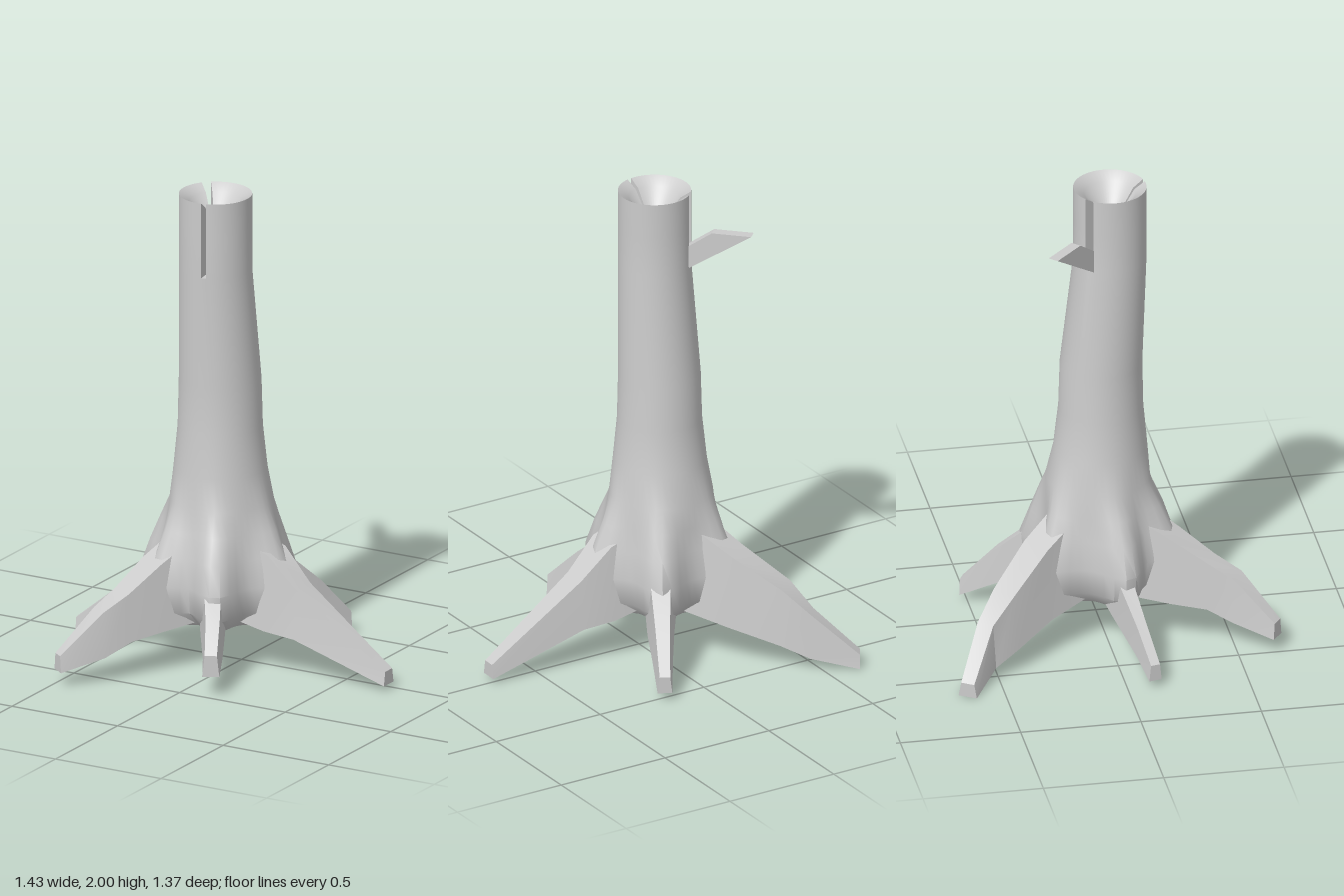
import * as THREE from 'three';
import { toCreasedNormals } from 'three/addons/utils/BufferGeometryUtils.js';

const material = new THREE.MeshStandardMaterial({ color: 0xcccccc, side: THREE.DoubleSide });

// Skin a list of closed rings (arrays of Vector3); skip(i, j) leaves a cell open
function loft(rings, skip = () => false) {
  const n = rings[0].length, pos = [], index = [];
  rings.forEach(ring => ring.forEach(p => pos.push(p.x, p.y, p.z)));
  for (let i = 0; i < rings.length - 1; i++) {
    for (let j = 0; j < n; j++) {
      if (skip(i, j)) continue;
      const k = (j + 1) % n, a = i * n + j, b = i * n + k, c = a + n, d = b + n;
      index.push(a, b, c, b, d, c);
    }
  }
  const geo = new THREE.BufferGeometry();
  geo.setAttribute('position', new THREE.Float32BufferAttribute(pos, 3));
  geo.setIndex(index);
  return geo;
}

function addMesh(parent, name, geo, crease) {
  const mesh = new THREE.Mesh(crease ? toCreasedNormals(geo, crease) : geo, material);
  mesh.name = name;
  parent.add(mesh);
  return mesh;
}

// Roots: stations of [x, z, top y, bottom y, width]
const ROOTS = {
  rootLeft: [[0, 0.01, 0.56, 0.22, 0.22], [0.17, 0.01, 0.5, 0.18, 0.2], [0.3, 0.015, 0.37, 0.16, 0.15], [0.71, 0.023, 0.08, 0.02, 0.075]],
  rootBackLeft: [[-0.03, -0.12, 0.5, 0.2, 0.13], [0.07, -0.28, 0.37, 0.17, 0.11], [0.13, -0.39, 0.26, 0.11, 0.085], [0.2, -0.52, 0.1, 0.03, 0.06]],
  rootBackRight: [[-0.18, -0.14, 0.58, 0.2, 0.2], [-0.28, -0.3, 0.47, 0.16, 0.18], [-0.42, -0.46, 0.34, 0.1, 0.15], [-0.49, -0.55, 0.24, 0.05, 0.1], [-0.655, -0.655, 0.06, 0, 0.08]],
  rootRight: [[-0.22, 0.03, 0.5, 0.2, 0.12], [-0.37, 0.04, 0.36, 0.17, 0.09], [-0.58, 0.085, 0.21, 0.09, 0.06], [-0.71, 0.115, 0.1, 0.03, 0.055]],
  rootFrontRight: [[-0.18, 0.12, 0.56, 0.2, 0.2], [-0.26, 0.28, 0.46, 0.18, 0.18], [-0.32, 0.42, 0.36, 0.16, 0.14], [-0.37, 0.52, 0.3, 0.11, 0.12], [-0.48, 0.665, 0.13, 0.06, 0.07]],
  rootFrontLeft: [[-0.06, 0.13, 0.5, 0.2, 0.11], [0.01, 0.25, 0.39, 0.18, 0.1], [0.08, 0.37, 0.28, 0.12, 0.08], [0.13, 0.47, 0.17, 0.08, 0.07]],
};

function rootGeometry(stations) {
  const rings = stations.map(([x, z, top, bottom, w], i) => {
    const p = stations[Math.max(i - 1, 0)], q = stations[Math.min(i + 1, stations.length - 1)];
    const len = Math.hypot(q[0] - p[0], q[1] - p[1]);
    const sx = -(q[1] - p[1]) / len, sz = (q[0] - p[0]) / len;
    // Wedge-like section, narrower along the ridge
    return [[-0.36, top], [0.36, top], [0.5, bottom], [-0.5, bottom]]
      .map(([s, y]) => new THREE.Vector3(x + sx * s * w, y, z + sz * s * w));
  });
  const last = rings[rings.length - 1];
  const tip = last.reduce((s, p) => s.add(p), new THREE.Vector3()).divideScalar(4);
  rings.push(last.map(() => tip));
  return loft(rings);
}

// Trunk rings: [y, centre z, radius, root flare]; hollow top first, underside last
const CX = -0.1, N = 48, SLIT_ROW = 4;
const TRUNK = [
  [1.8, 0.04, 0, 0], [1.97, 0.04, 0.105, 0], [2, 0.04, 0.15, 0], [1.85, 0.04, 0.15, 0], [1.68, 0.04, 0.15, 0],
  [1.2, 0.003, 0.169, 0], [1, 0.002, 0.174, 0], [0.82, 0, 0.192, 0], [0.68, -0.01, 0.212, 0.005], [0.58, -0.005, 0.222, 0.04],
  [0.48, 0, 0.235, 0.07], [0.36, 0, 0.25, 0.1], [0.25, 0, 0.24, 0.1], [0.18, 0, 0.17, 0.07], [0.2, 0, 0, 0],
];
const SLITS = [[29, 31], [10, 11]];

function trunkPoint([y, cz, r, flare], j) {
  const a = j / N * Math.PI * 2;
  let lobe = 0;
  for (const s of Object.values(ROOTS)) {
    const d = a - Math.atan2(s[2][1], s[2][0] - CX);
    lobe = Math.max(lobe, Math.exp(-Math.pow(Math.atan2(Math.sin(d), Math.cos(d)) / 0.28, 2)));
  }
  const rr = r + flare * lobe;
  return new THREE.Vector3(CX + rr * Math.cos(a), y, cz + rr * Math.sin(a));
}

// Side walls and floor of a slit cut in to the trunk axis
function slitGeometry(from, to) {
  const pos = [], axisLow = new THREE.Vector3(CX, 1.68, 0.04);
  const fan = pts => {
    for (let i = 1; i < pts.length - 1; i++) {
      for (const p of [pts[0], pts[i], pts[i + 1]]) pos.push(p.x, p.y, p.z);
    }
  };
  const wall = j => [axisLow, trunkPoint(TRUNK[4], j), trunkPoint(TRUNK[2], j), trunkPoint(TRUNK[1], j), trunkPoint(TRUNK[0], j)];
  fan(wall(from));
  fan(wall(to).reverse());
  fan([axisLow, trunkPoint(TRUNK[4], to), trunkPoint(TRUNK[4], from)]);
  const geo = new THREE.BufferGeometry();
  geo.setAttribute('position', new THREE.Float32BufferAttribute(pos, 3));
  geo.computeVertexNormals();
  return geo;
}

export function createModel() {
  const group = new THREE.Group();
  group.name = 'treeStump';

  // Trunk with hollow top, two slits and a flared base
  const rings = TRUNK.map(row => Array.from({ length: N }, (_, j) => trunkPoint(row, j)));
  const inSlit = (i, j) => i < SLIT_ROW && SLITS.some(([a, b]) => j >= a && j < b);
  addMesh(group, 'trunk', loft(rings, inSlit), 0.8);
  SLITS.forEach(([a, b]) => addMesh(group, 'trunkSlit', slitGeometry(a, b)));

  // Roots
  for (const [name, stations] of Object.entries(ROOTS)) addMesh(group, name, rootGeometry(stations), 0.5);

  // Slanted branch stub, cut level at its top
  const outline = new THREE.Shape([[0, 1.58], [0.41, 1.84], [0.245, 1.84], [0, 1.67]].map(p => new THREE.Vector2(...p)));
  const stub = new THREE.ExtrudeGeometry(outline, { depth: 0.044, bevelEnabled: false });
  stub.translate(0, 0, -0.022);
  const branch = addMesh(group, 'branchStub', stub);
  branch.position.set(CX, 0, 0.04);
  branch.rotation.y = Math.PI * 0.75;
  return group;
}
